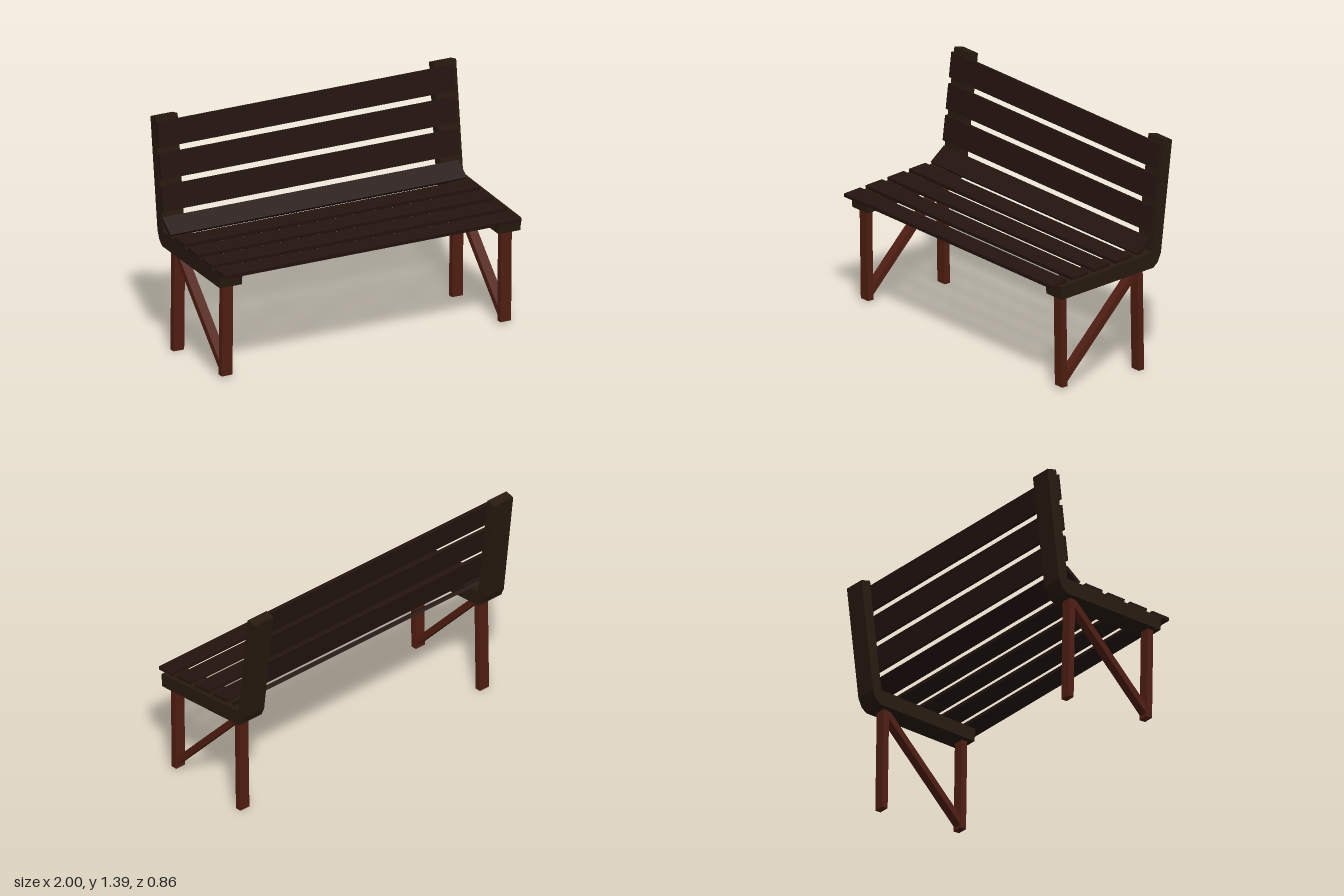
import * as THREE from 'three';

const slatMat = new THREE.MeshStandardMaterial({ color: 0x24140f });
const frameMat = new THREE.MeshStandardMaterial({ color: 0x281a0f });
const legMat = new THREE.MeshStandardMaterial({ color: 0x501e12 });

// Straight timber between two [z, y] points, spanning x0..x1
function beam(name, [z0, y0], [z1, y1], thickness, x0, x1, material) {
  const dz = z1 - z0, dy = y1 - y0;
  const geometry = new THREE.BoxGeometry(x1 - x0, thickness, Math.hypot(dz, dy));
  const mesh = new THREE.Mesh(geometry, material);
  mesh.name = name;
  mesh.position.set((x0 + x1) / 2, (y0 + y1) / 2, (z0 + z1) / 2);
  mesh.rotation.x = -Math.atan2(dy, dz);
  return mesh;
}

// Bent support carrying seat and backrest, profile in [z, y]
function sideFrame() {
  const profile = [
    [0.367, 0.572], [0.375, 0.652], [-0.288, 0.722], [-0.368, 1.392],
    [-0.428, 1.381], [-0.347, 0.708], [-0.325, 0.657], [-0.293, 0.628],
  ];
  const shape = new THREE.Shape(profile.map(([z, y]) => new THREE.Vector2(z, y)));
  const geometry = new THREE.ExtrudeGeometry(shape, { depth: 0.146, bevelEnabled: false });
  geometry.translate(0, 0, -0.073);
  geometry.rotateY(-Math.PI / 2);
  const mesh = new THREE.Mesh(geometry, frameMat);
  mesh.name = 'sideFrame';
  return mesh;
}

export function createModel() {
  const bench = new THREE.Group();
  bench.name = 'bench';

  // Side supports with legs and diagonal braces
  for (const side of [-1, 1]) {
    const support = new THREE.Group();
    support.name = side > 0 ? 'leftSupport' : 'rightSupport';
    const frame = sideFrame();
    frame.position.x = side * 0.927;
    const legX = side > 0 ? 0.923 : -0.931;
    const x0 = legX - 0.035, x1 = legX + 0.035;
    support.add(
      frame,
      beam('frontLeg', [0.313, 0.018], [0.322, 0.61], 0.038, x0, x1, legMat),
      beam('backLeg', [-0.239, 0.002], [-0.228, 0.66], 0.038, x0, x1, legMat),
      beam('brace', [0.312, 0.05], [-0.213, 0.612], 0.038, x0 + 0.006, x1 - 0.006, legMat),
    );
    bench.add(support);
  }

  const left = 0.972, right = -1;

  // Seat slats lie on the sloping seat rails
  for (let i = 0; i < 4; i++) {
    const z = 0.368 - i * 0.156;
    const y = 0.662 + i * 0.0165;
    bench.add(beam('seatSlat', [z + 0.059, y - 0.006], [z - 0.059, y + 0.006], 0.021, right, left, slatMat));
  }

  // Angled slat between seat and backrest
  bench.add(beam('cornerSlat', [-0.203, 0.717], [-0.298, 0.796], 0.021, right, left, slatMat));

  // Backrest slats
  for (let i = 0; i < 3; i++) {
    const y = 0.913 + i * 0.188;
    const z = -0.302 - i * 0.0225;
    bench.add(beam('backSlat', [z + 0.009, y - 0.075], [z - 0.009, y + 0.075], 0.021, right, left, slatMat));
  }

  return bench;
}
